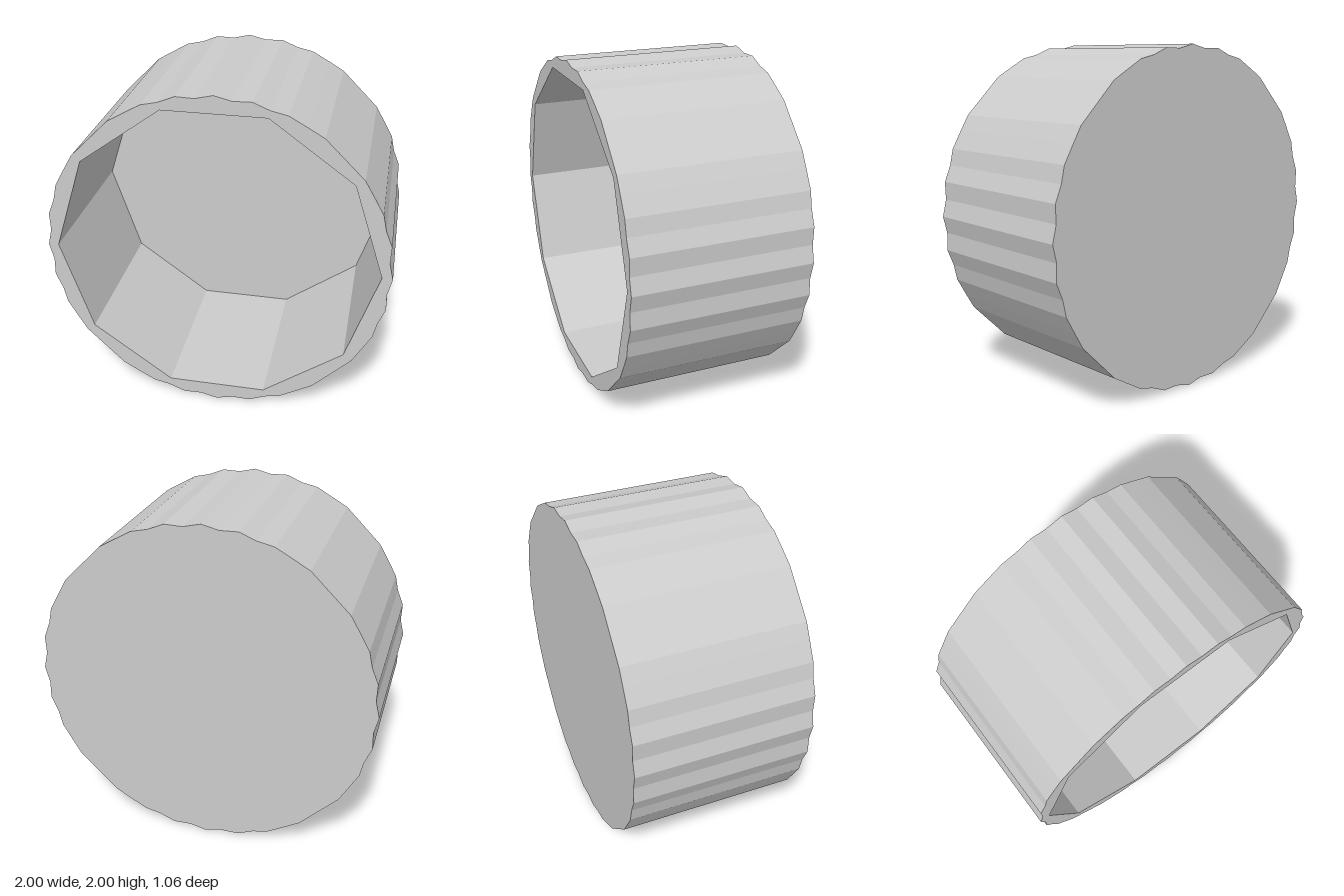
import * as THREE from 'three';

const BACK = -0.53, FRONT = 0.53, FLOOR = -0.47;

// Fluted outer outline: one octant mirrored into a closed loop, counter-clockwise
function outerOutline() {
  const octant = [[0, 1], [0.1, 0.976], [0.205, 0.979], [0.3, 0.94], [0.395, 0.919], [0.5, 0.86], [0.588, 0.809]];
  const quarter = [...octant.map(([x, y]) => [y, x]), ...octant.slice().reverse()];
  const loop = [];
  for (let q = 0; q < 4; q++) {
    for (const [x, y] of quarter.slice(0, -1)) {
      loop.push(new THREE.Vector2(x, y).rotateAround(new THREE.Vector2(), q * Math.PI / 2));
    }
  }
  return loop.map((p) => new THREE.Vector2(p.x, p.y + 1));
}

// Ten-sided opening, counter-clockwise
function innerOutline() {
  return Array.from({ length: 10 }, (_, i) => {
    const a = i * Math.PI / 5;
    return new THREE.Vector2(0.94 * Math.cos(a), 1.003 + 0.94 * Math.sin(a));
  });
}

// Flat-faced wall along z; a counter-clockwise loop faces outward
function wallGeometry(loop, z0, z1) {
  const pos = [];
  loop.forEach((a, i) => {
    const b = loop[(i + 1) % loop.length];
    pos.push(a.x, a.y, z0, b.x, b.y, z0, b.x, b.y, z1);
    pos.push(a.x, a.y, z0, b.x, b.y, z1, a.x, a.y, z1);
  });
  const geo = new THREE.BufferGeometry();
  geo.setAttribute('position', new THREE.Float32BufferAttribute(pos, 3));
  geo.computeVertexNormals();
  return geo;
}

export function createModel() {
  const group = new THREE.Group();
  group.name = 'flutedCup';
  const material = new THREE.MeshStandardMaterial({ color: 0xcccccc, flatShading: true });
  const add = (name, geometry) => {
    const mesh = new THREE.Mesh(geometry, material);
    mesh.name = name;
    group.add(mesh);
  };

  const outer = outerOutline();
  const inner = innerOutline();

  // Walls
  add('outerWall', wallGeometry(outer, BACK, FRONT));
  add('innerWall', wallGeometry(inner.slice().reverse(), FLOOR, FRONT));

  // Front rim around the opening
  const rim = new THREE.Shape(outer);
  rim.holes.push(new THREE.Path(inner));
  add('frontRim', new THREE.ShapeGeometry(rim).translate(0, 0, FRONT));

  // Recessed floor and closed back
  add('innerFloor', new THREE.ShapeGeometry(new THREE.Shape(inner)).translate(0, 0, FLOOR));
  add('backPanel', new THREE.ShapeGeometry(new THREE.Shape(outer)).rotateY(Math.PI).translate(0, 0, BACK));

  return group;
}
